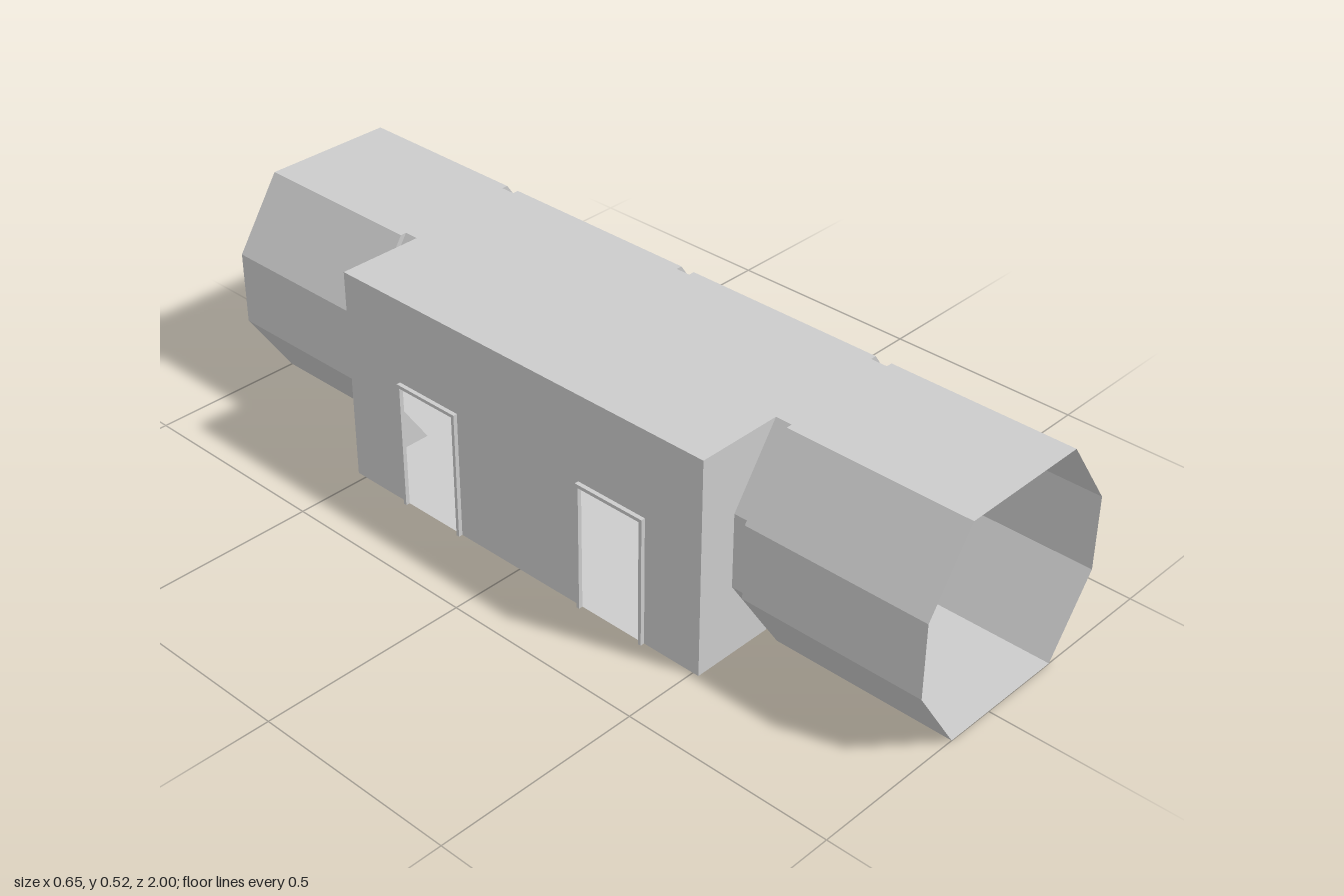
import * as THREE from 'three';

const H = 0.523;                 // corridor height
const LEVELS = [0, 0.172, 0.351, H];
const LEFT = [0.205, 0.325, 0.325, 0.205];        // +x wall profile
const RIGHT = [-0.12, -0.235, -0.235, -0.12];     // -x wall profile
const INSET = 0.015;             // groove depth
const BOX_X = -0.315, BOX_FRONT = 0.515, BOX_BACK = -0.525;
const DOORS = [[-0.36, -0.18], [0.18, 0.365]];
const DOOR_H = 0.315;

export function createModel() {
  const group = new THREE.Group();
  const material = new THREE.MeshStandardMaterial({ color: 0xcccccc, flatShading: true, side: THREE.DoubleSide });
  const add = (name, geometry) => {
    const mesh = new THREE.Mesh(geometry, material);
    mesh.name = name;
    group.add(mesh);
    return mesh;
  };
  const shapeOf = (pts) => new THREE.Shape(pts.map(([x, y]) => new THREE.Vector2(x, y)));

  // Sweep a wall profile along [z, inset] stations; inset steps make the grooves
  const sweepWall = (profile, stations, inward) => {
    const pos = [];
    const p = ([z, inset], j) => [profile[j] + inward * inset, LEVELS[j], z];
    for (let i = 0; i < stations.length - 1; i++) {
      for (let j = 0; j < 3; j++) {
        const a = p(stations[i], j), b = p(stations[i + 1], j);
        const c = p(stations[i + 1], j + 1), d = p(stations[i], j + 1);
        pos.push(...a, ...b, ...c, ...a, ...c, ...d);
      }
    }
    const g = new THREE.BufferGeometry();
    g.setAttribute('position', new THREE.Float32BufferAttribute(pos, 3));
    g.computeVertexNormals();
    return g;
  };

  // Left wall with three grooves, from front to back
  const leftPath = [[1, 0]];
  for (const [z0, z1] of [[0.555, 0.515], [0.018, -0.018], [-0.525, -0.56]]) {
    leftPath.push([z0, 0], [z0, INSET], [z1, INSET], [z1, 0]);
  }
  leftPath.push([-1, 0]);
  add('leftWall', sweepWall(LEFT, leftPath, -1));

  // Right wall in two lengths, each ending in a groove beside the side room
  const rightBack = [[-1, 0], [-0.56, 0], [-0.56, INSET], [BOX_BACK, INSET]];
  const rightFront = [[BOX_FRONT, INSET], [0.555, INSET], [0.555, 0], [1, 0]];
  add('rightWallBack', sweepWall(RIGHT, rightBack, 1));
  add('rightWallFront', sweepWall(RIGHT, rightFront, 1));

  // Roof and floor follow the wall edges, notches included
  const outline = [
    ...leftPath.map(([z, d]) => [LEFT[0] - d, z]),
    ...rightBack.map(([z, d]) => [RIGHT[0] + d, z]),
    [BOX_X, BOX_BACK], [BOX_X, BOX_FRONT],
    ...rightFront.map(([z, d]) => [RIGHT[0] + d, z]),
  ];
  add('floor', new THREE.ShapeGeometry(shapeOf(outline)).rotateX(Math.PI / 2));
  add('roof', new THREE.ShapeGeometry(shapeOf(outline.map(([x, z]) => [x, -z]))).rotateX(-Math.PI / 2))
    .position.y = H;

  // Side room end walls, cut to the corridor profile
  const endShape = shapeOf([
    [BOX_X, 0], ...RIGHT.map((x, j) => [x + INSET, LEVELS[j]]), [BOX_X, H],
  ]);
  add('roomFrontWall', new THREE.ShapeGeometry(endShape)).position.z = BOX_FRONT;
  add('roomBackWall', new THREE.ShapeGeometry(endShape).rotateY(Math.PI).scale(-1, 1, 1))
    .position.z = BOX_BACK;

  // Side room outer wall with two doorways open down to the floor
  const wallPts = [[BOX_BACK, 0]];
  for (const [z0, z1] of DOORS) wallPts.push([z0, 0], [z0, DOOR_H], [z1, DOOR_H], [z1, 0]);
  wallPts.push([BOX_FRONT, 0], [BOX_FRONT, H], [BOX_BACK, H]);
  add('roomOuterWall', new THREE.ShapeGeometry(shapeOf(wallPts)).rotateY(-Math.PI / 2))
    .position.x = BOX_X;

  // Slim door frames standing proud of the wall
  const t = 0.008;
  for (const [z0, z1] of DOORS) {
    const frame = shapeOf([
      [z0, 0], [z0 + t, 0], [z0 + t, DOOR_H - t], [z1 - t, DOOR_H - t],
      [z1 - t, 0], [z1, 0], [z1, DOOR_H], [z0, DOOR_H],
    ]);
    add('doorFrame', new THREE.ExtrudeGeometry(frame, { depth: 0.01, bevelEnabled: false }).rotateY(-Math.PI / 2))
      .position.x = BOX_X;
  }
  return group;
}
